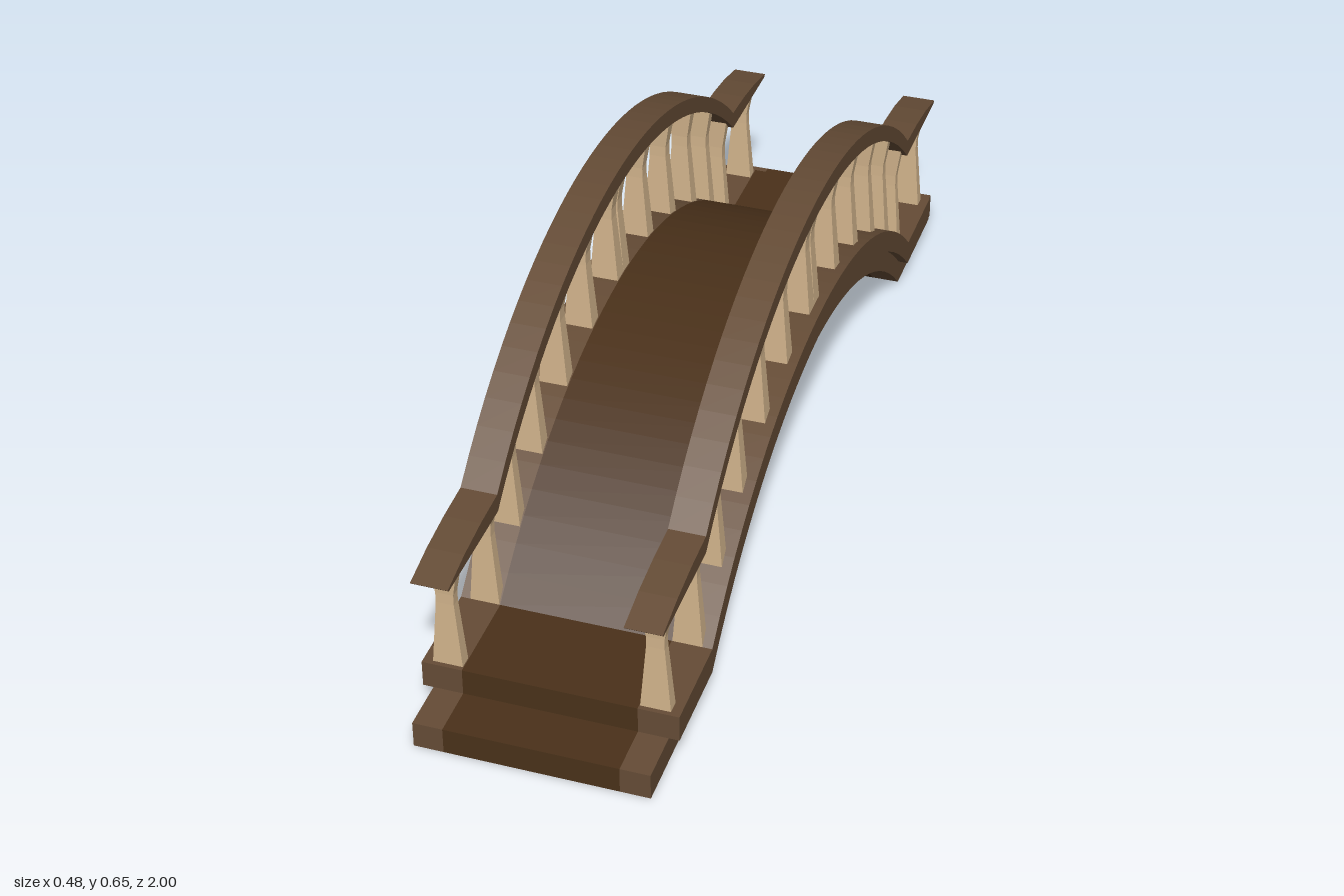
import * as THREE from 'three';

const mat = (color) => new THREE.MeshStandardMaterial({ color, flatShading: true });
const SPRING = 0.71; // half span of the arch

// Height of a circular arc that rises from y0 at the springing to y0 + rise at the middle
function arcY(z, y0, rise) {
  const r = (SPRING * SPRING + rise * rise) / (2 * rise);
  return y0 + rise - r + Math.sqrt(r * r - z * z);
}

// Arc points from -SPRING to +SPRING
function arc(y0, rise, n = 32) {
  return Array.from({ length: n + 1 }, (_, i) => {
    const z = -SPRING + (2 * SPRING * i) / n;
    return new THREE.Vector2(z, arcY(z, y0, rise));
  });
}

// Extrude a (z, y) side outline across x from x0 to x1
function slab(name, top, bottom, x0, x1, material) {
  const shape = new THREE.Shape([...top, ...bottom.slice().reverse()]);
  const geo = new THREE.ExtrudeGeometry(shape, { depth: x1 - x0, bevelEnabled: false });
  geo.rotateY(-Math.PI / 2).translate(x1, 0, 0);
  const mesh = new THREE.Mesh(geo, material);
  mesh.name = name;
  return mesh;
}

// Arc continued by flat or sloping ends; ends lists [z, y] outwards from the springing
function line(y0, rise, ends) {
  const right = ends.map(([z, y]) => new THREE.Vector2(z, y));
  const left = ends.map(([z, y]) => new THREE.Vector2(-z, y)).reverse();
  return [...left, ...arc(y0, rise), ...right];
}

// Square post with a waist above the middle
function balusterGeometry(height, depth) {
  const geo = new THREE.BoxGeometry(1, height, 1, 1, 3, 1);
  const p = geo.attributes.position;
  const rows = [[0, 0.057, 1], [0.62, 0.034, 0.75], [0.72, 0.034, 0.75], [1, 0.054, 1]];
  for (let i = 0; i < p.count; i++) {
    const [t, w, d] = rows[Math.round((p.getY(i) / height + 0.5) * 3)];
    p.setXYZ(i, p.getX(i) * w, t * height, p.getZ(i) * depth * d);
  }
  geo.computeVertexNormals();
  return geo;
}

export function createModel() {
  const group = new THREE.Group();
  const deckMat = mat(0x4a311a);
  const trimMat = mat(0x654c36);
  const postMat = mat(0xd2b48c);

  // Two stacked courses: dark deck in the middle, lighter trim along both edges
  const courses = [
    { name: 'lower', y: 0, rise: 0.29, t: 0.053, topRise: 0.29, end: 1, half: 0.222 },
    { name: 'upper', y: 0.053, rise: 0.29, t: 0.054, topRise: 0.286, end: 0.9, half: 0.242 },
  ];
  for (const c of courses) {
    const top = line(c.y + c.t, c.topRise, [[c.end, c.y + c.t]]);
    const bottom = line(c.y, c.rise, [[c.end, c.y]]);
    group.add(slab(c.name + 'Deck', top, bottom, -0.165, 0.165, deckMat));
    group.add(slab(c.name + 'TrimLeft', top, bottom, 0.165, c.half, trimMat));
    group.add(slab(c.name + 'TrimRight', top, bottom, -c.half, -0.165, trimMat));
  }

  // Handrails with pointed, gently drooping ends
  const railTop = line(0.362, 0.285, [[0.79, 0.358], [0.87, 0.348], [0.95, 0.33]]);
  const railBottom = line(0.325, 0.285, [[0.945, 0.325]]);
  group.add(slab('handrailLeft', railTop, railBottom, 0.16, 0.23, trimMat));
  group.add(slab('handrailRight', railTop, railBottom, -0.23, -0.16, trimMat));

  // Balusters, mirrored about both axes, with a close pair at the crown
  const posts = [[0.0175, 0.035], [0.167, 0.035], [0.312, 0.034], [0.453, 0.032],
    [0.58, 0.03], [0.697, 0.026], [0.878, 0.026]];
  for (const [z, depth] of posts) {
    const onArch = z < SPRING;
    const reach = Math.min(SPRING, z + depth / 2); // sink the foot into the slope
    const y0 = onArch ? arcY(reach, 0.107, 0.286) : 0.107;
    const y1 = onArch ? arcY(Math.max(0, z - depth / 2), 0.327, 0.285) : 0.327;
    const geo = balusterGeometry(y1 - y0, depth);
    for (const sx of [-1, 1]) {
      for (const sz of [-1, 1]) {
        const post = new THREE.Mesh(geo, postMat);
        post.name = 'baluster';
        post.position.set(sx * 0.195, y0, sz * z);
        group.add(post);
      }
    }
  }
  return group;
}
